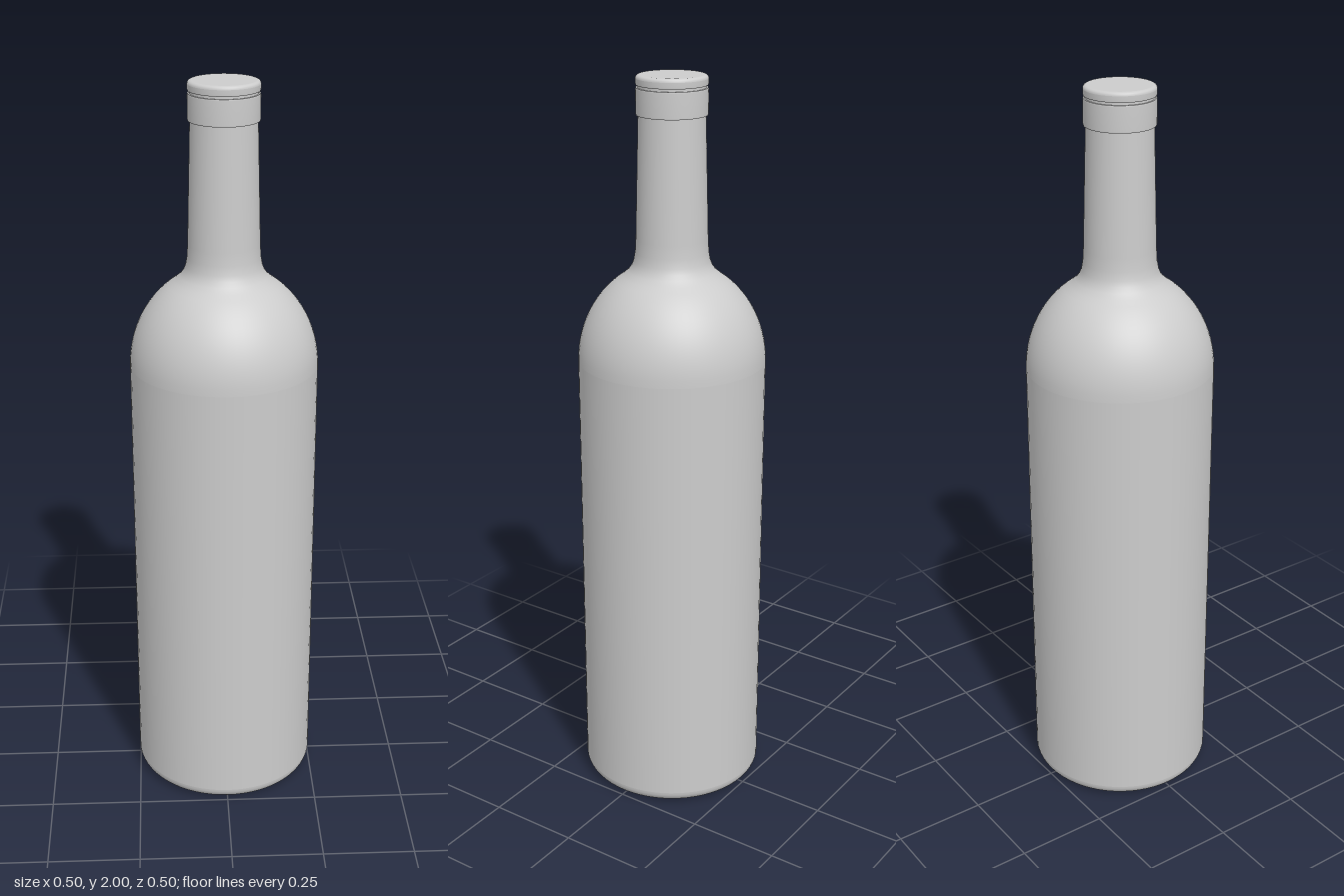
import * as THREE from 'three';

const SEGMENTS = 64;

export function createModel() {
  const group = new THREE.Group();
  group.name = 'bottle';
  const glass = new THREE.MeshStandardMaterial({ color: 0xcccccc });
  glass.name = 'pale grey';

  // Each run of [radius, height] points is smooth; edges between runs stay sharp
  const addLathe = (name, ...runs) => {
    const part = new THREE.Group();
    part.name = name;
    for (const run of runs) {
      const points = run.map(([r, y]) => new THREE.Vector2(r, y));
      const mesh = new THREE.Mesh(new THREE.LatheGeometry(points, SEGMENTS), glass);
      mesh.name = name + 'Surface';
      part.add(mesh);
    }
    group.add(part);
  };

  const arc = (cx, cy, rx, ry, from, to, steps) =>
    Array.from({ length: steps + 1 }, (_, i) => {
      const a = from + ((to - from) * i) / steps;
      return [cx + rx * Math.cos(a), cy + ry * Math.sin(a)];
    });

  // Flat underside with a rounded heel
  addLathe('base', [[0, 0], [0.215, 0]], arc(0.215, 0.035, 0.037, 0.035, -Math.PI / 2, 0, 8));

  // Straight wall
  addLathe('body', [[0.252, 0.035], [0.252, 1.25]]);

  // Domed shoulder sweeping into the tapered neck
  addLathe('shoulderAndNeck', [
    ...arc(0, 1.25, 0.252, 0.27, 0, 1.02, 14),
    [0.116, 1.494], [0.107, 1.507], [0.101, 1.522], [0.097, 1.545],
    [0.095, 1.58], [0.091, 1.74], [0.087, 1.9],
  ]);

  // Collar ring
  addLathe('collar',
    [[0.087, 1.9], [0.092, 1.9]],
    [[0.092, 1.9], [0.093, 1.904], [0.093, 1.964], [0.092, 1.968]],
    [[0.092, 1.968], [0.088, 1.968]]);

  // Narrow groove under the lip
  addLathe('groove', [[0.088, 1.968], [0.088, 1.975]]);

  // Lip with softened edge and closed mouth
  addLathe('lip',
    [[0.088, 1.975], [0.092, 1.975]],
    [[0.092, 1.975], [0.093, 1.978], [0.093, 1.991]],
    arc(0.083, 1.991, 0.01, 0.009, 0, Math.PI / 2, 5));
  addLathe('mouth', [[0.083, 2], [0, 2]]);

  return group;
}
